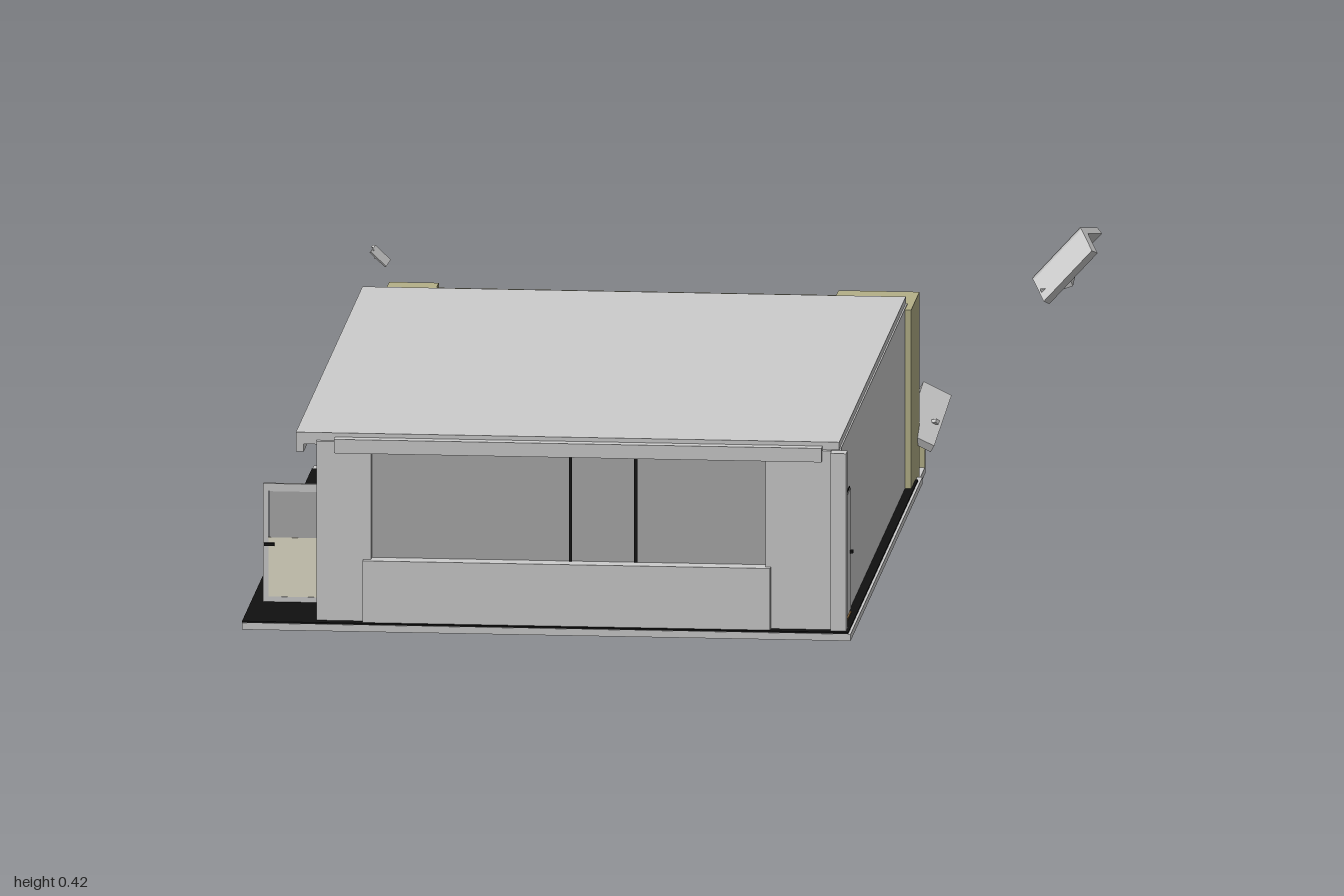
import * as THREE from 'three';

const mat = (color) => new THREE.MeshStandardMaterial({ color, side: THREE.DoubleSide });
const GREY = mat(0xcccccc), GLASS = mat(0xaaaaaa), OLIVE = mat(0xb4b088);
const CREAM = mat(0xe2deca), BLACK = mat(0x101010), BROWN = mat(0x8a6a40);

// Box given by its minimum and maximum along each axis
function box(parent, name, m, x0, x1, y0, y1, z0, z1) {
  const mesh = new THREE.Mesh(new THREE.BoxGeometry(x1 - x0, y1 - y0, z1 - z0), m);
  mesh.position.set((x0 + x1) / 2, (y0 + y1) / 2, (z0 + z1) / 2);
  mesh.name = name;
  parent.add(mesh);
  return mesh;
}

function group(parent, name) {
  const g = new THREE.Group();
  g.name = name;
  parent.add(g);
  return g;
}

// Floor slabs
function buildBase(root) {
  const g = group(root, 'base');
  box(g, 'mainSlab', GREY, -0.735, 0.43, 0.014, 0.027, -0.485, 1);
  box(g, 'darkFloor', BLACK, -0.735, 0.425, 0.027, 0.03, -0.445, 0.998);
  box(g, 'terraceSlab', GREY, -0.595, 0.42, 0, 0.013, -0.655, -0.42);
}

// Roof with its side fascia
function buildRoof(root) {
  const g = group(root, 'roof');
  box(g, 'roofSlab', GREY, -0.635, 0.405, 0.378, 0.393, -0.41, 0.965);
  box(g, 'sideFascia', GREY, -0.635, -0.62, 0.355, 0.378, -0.41, 0.965);
  box(g, 'soffit', GREY, -0.62, -0.58, 0.37, 0.378, -0.41, 0.965);
}

// Front facade: window, sill panel, piers and beam
function buildFront(root) {
  const g = group(root, 'front');
  const z0 = 0.95, z1 = 0.975;
  box(g, 'leftPier', GREY, -0.595, -0.49, 0.03, 0.378, z0, z1);
  box(g, 'rightPier', GREY, 0.265, 0.39, 0.03, 0.378, z0, z1);
  box(g, 'cornerPost', GREY, 0.39, 0.42, 0.03, 0.375, 0.955, 0.985);
  box(g, 'lowerWall', GREY, -0.49, 0.265, 0.03, 0.15, z0, z1);
  box(g, 'sillPanel', GREY, -0.505, 0.275, 0.03, 0.15, z1, 0.99);
  box(g, 'lintel', GREY, -0.49, 0.265, 0.357, 0.378, z0, z1);
  box(g, 'beam', GREY, -0.56, 0.373, 0.358, 0.385, 0.965, 0.988);
  box(g, 'frontWindow', GLASS, -0.49, 0.265, 0.15, 0.357, 0.95, 0.955);
  for (const x of [-0.11, 0.015]) box(g, 'mullion', BLACK, x - 0.003, x + 0.003, 0.15, 0.357, 0.955, 0.959);
}

// Solid wall with a service door
function buildSolidWall(root) {
  const g = group(root, 'solidWall');
  box(g, 'wall', GREY, 0.39, 0.408, 0.03, 0.38, -0.41, 0.955);
  box(g, 'doorFrame', BLACK, 0.405, 0.4095, 0.03, 0.272, 0.788, 0.927);
  box(g, 'sideDoor', GREY, 0.405, 0.411, 0.033, 0.269, 0.791, 0.924);
  box(g, 'doorHandle', BLACK, 0.411, 0.417, 0.145, 0.15, 0.798, 0.812);
  box(g, 'threshold', BROWN, 0.408, 0.414, 0.029, 0.033, 0.81, 0.92);
}

// Glazed wall with cream lower panels and an open door
function buildGlazedWall(root) {
  const g = group(root, 'glazedWall');
  const start = -0.41, bays = 11, pitch = 1.36 / bays;
  const x0 = -0.59, x1 = -0.58, doorBay = 9;
  for (let i = 0; i <= bays; i++) {
    const z = start + i * pitch;
    box(g, 'post', GREY, x0 - 0.004, x1 + 0.004, 0.03, 0.375, z - 0.005, z + 0.005);
    if (i === bays) break;
    box(g, 'transomPane', GLASS, x0 + 0.003, x1 - 0.003, 0.265, 0.375, z, z + pitch);
    if (i === doorBay) continue;
    box(g, 'lowerPanel', CREAM, x0, x1, 0.03, 0.15, z, z + pitch);
    box(g, 'pane', GLASS, x0 + 0.003, x1 - 0.003, 0.15, 0.265, z, z + pitch);
  }
  box(g, 'transomRail', GREY, x0 - 0.003, x1 + 0.003, 0.26, 0.267, start, 0.95);

  const d = group(g, 'openDoor');
  box(d, 'doorPanel', CREAM, -0.705, -0.598, 0.037, 0.155, 0.804, 0.81);
  box(d, 'doorGlass', GLASS, -0.7, -0.6, 0.155, 0.247, 0.805, 0.809);
  box(d, 'topRail', GREY, -0.712, -0.592, 0.245, 0.26, 0.803, 0.811);
  box(d, 'bottomRail', GREY, -0.712, -0.592, 0.03, 0.04, 0.803, 0.811);
  for (const x of [-0.712, -0.6]) box(d, 'stile', GREY, x, x + 0.01, 0.03, 0.26, 0.803, 0.811);
  box(d, 'handle', BLACK, -0.71, -0.69, 0.14, 0.145, 0.8, 0.818);
}

// Back frame, window, sill panel and open door
function buildBack(root) {
  const g = group(root, 'back');
  box(g, 'column', OLIVE, -0.595, -0.5, 0.012, 0.378, -0.53, -0.4);
  box(g, 'column', OLIVE, 0.265, 0.415, 0.012, 0.378, -0.53, -0.4);
  box(g, 'columnReturn', OLIVE, 0.405, 0.42, 0.012, 0.378, -0.53, -0.36);
  box(g, 'lintel', OLIVE, -0.5, 0.265, 0.335, 0.378, -0.485, -0.4);
  box(g, 'lowerWall', CREAM, -0.5, 0.12, 0.03, 0.15, -0.43, -0.415);
  box(g, 'sillPanel', CREAM, -0.4, 0.12, 0.03, 0.16, -0.475, -0.43);
  box(g, 'backWindow', GLASS, -0.5, 0.12, 0.15, 0.335, -0.425, -0.42);
  box(g, 'doorTransom', GLASS, 0.12, 0.265, 0.27, 0.335, -0.425, -0.42);
  for (let i = 0; i <= 5; i++) {
    const x = -0.5 + i * 0.124;
    box(g, 'mullion', GREY, x - 0.004, x + 0.004, 0.03, 0.335, -0.43, -0.416);
  }
  box(g, 'openBackDoor', GREY, 0.245, 0.252, 0.03, 0.268, -0.53, -0.425);
  box(g, 'doorHandle', BLACK, 0.23, 0.245, 0.145, 0.15, -0.52, -0.51);
}

// Terrace parapet with a slatted railing in its opening
function buildParapet(root) {
  const g = group(root, 'parapet');
  const z0 = -0.655, z1 = -0.64, h = 0.145, a = -0.36, b = 0.105;
  box(g, 'parapetWall', OLIVE, -0.595, a, 0, h, z0, z1);
  box(g, 'parapetWall', OLIVE, b, 0.42, 0, h, z0, z1);
  box(g, 'parapetFoot', OLIVE, a, b, 0, 0.035, z0, z1);
  const c = (a + b) / 2, half = 0.078;
  for (const [s, e] of [[a, c - half], [c + half, b]])
    for (let i = 0; i < 5; i++)
      box(g, 'slat', GREY, s, e, 0.043 + i * 0.02, 0.053 + i * 0.02, -0.651, -0.644);
  for (const x of [a, c - half, c + half, b]) box(g, 'railPost', GREY, x - 0.004, x + 0.004, 0.035, 0.135, -0.652, -0.643);
  for (const y of [0.036, 0.13]) box(g, 'rail', GREY, c - half, c + half, y, y + 0.006, -0.652, -0.643);
  for (const s of [-1, 1]) {
    const brace = box(g, 'crossBrace', GREY, -0.088, 0.088, -0.004, 0.004, -0.003, 0.003);
    brace.position.set(c, 0.086, -0.6475);
    brace.rotation.z = s * Math.atan2(0.09, 2 * half);
  }
  box(root, 'terraceBox', BROWN, 0.28, 0.33, 0.013, 0.042, -0.61, -0.575);
  box(root, 'cabinet', BROWN, 0.26, 0.33, 0.03, 0.16, -0.32, -0.26);
}

// Tilted panel on a thin bracket at each terrace corner
function buildCornerPanel(root, x, y, z, length, yaw, roll, side) {
  const g = group(root, 'cornerPanel');
  box(g, 'panel', GREY, -0.03, 0.03, -0.008, 0.008, -length / 2, length / 2);
  box(g, 'rim', GREY, -0.022, 0.022, -0.014, -0.008, -length / 2 + 0.01, length / 2 - 0.01);
  const arm = box(g, 'bracket', GREY, -0.004, 0.004, -0.07, 0.03, -0.004, 0.004);
  arm.rotation.set(0.6, 0, side * 0.4);
  g.position.set(x, y, z);
  g.rotation.set(0.35, yaw, roll, 'YXZ');
}

// Folded sheet floating in the air, built from two wings and a tail
function buildFloatingSheet(root, x, y, z, s) {
  const g = group(root, 'floatingSheet');
  for (const side of [-1, 1]) {
    const wing = box(g, 'wing', GREY, -0.5, 0.42, -0.05, 0.05, -0.22, 0.22);
    wing.position.z = side * 0.15;
    wing.rotation.x = side * 0.55;
  }
  const tail = box(g, 'tail', GREY, -0.2, 0.2, -0.04, 0.04, -0.25, 0.25);
  tail.position.set(-0.3, -0.1, 0);
  tail.rotation.z = -0.5;
  g.position.set(x, y, z);
  g.rotation.set(0.2, 0, 0.85);
  g.scale.setScalar(s);
}

export function createModel() {
  const root = new THREE.Group();
  root.name = 'pavilion';
  [buildBase, buildRoof, buildFront, buildSolidWall, buildGlazedWall, buildBack, buildParapet].forEach((f) => f(root));
  buildCornerPanel(root, 0.43, 0.125, -0.58, 0.185, -0.1, -0.5, -1);
  buildCornerPanel(root, -0.635, 0.125, -0.6, 0.14, 0.4, 0.4, 1);
  buildFloatingSheet(root, 0.665, 0.36, -0.955, 0.155);
  const small = [-0.65, 0.34, -0.96, 0.045];
  buildFloatingSheet(root, ...small);
  root.children[root.children.length - 1].rotation.z = -0.8;
  return root;
}
